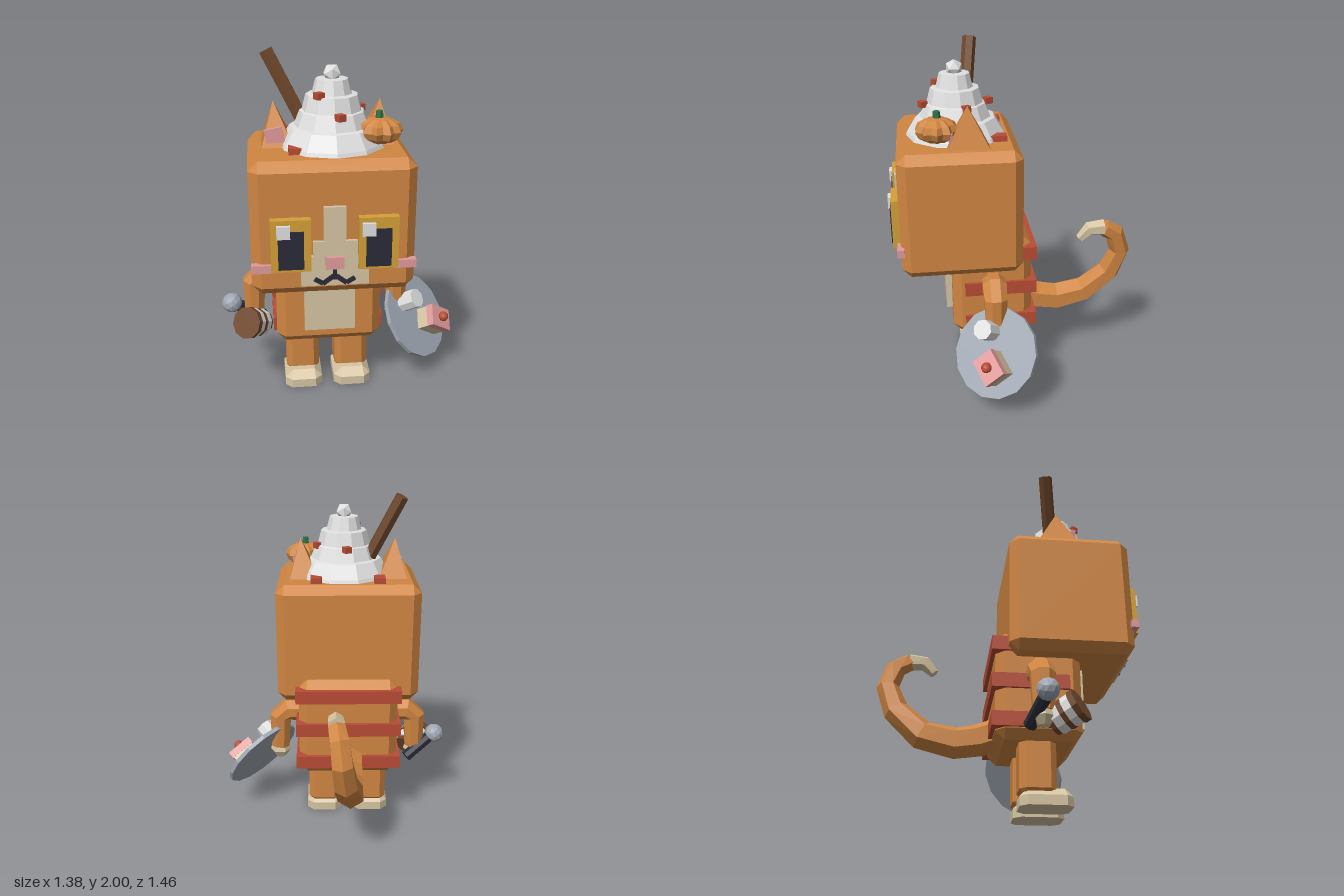
import * as THREE from 'three';
import { ConvexGeometry } from 'three/addons/geometries/ConvexGeometry.js';

const V = (x, y, z) => new THREE.Vector3(x, y, z);
const CX = -0.0775; // body's plane of symmetry

function material(name, color) {
  const m = new THREE.MeshStandardMaterial({ color, flatShading: true });
  m.name = name;
  return m;
}

// box with every edge and corner cut off
function chamferBox(w, h, d, c) {
  const pts = [];
  for (const x of [-1, 1]) for (const y of [-1, 1]) for (const z of [-1, 1]) {
    const a = x * w / 2, b = y * h / 2, e = z * d / 2;
    pts.push(V(a, b - y * c, e - z * c), V(a - x * c, b, e - z * c), V(a - x * c, b - y * c, e));
  }
  return new ConvexGeometry(pts);
}

// faceted tube through points, one radius per point; ref is the normal of the bend plane
function limb(points, radii, sides, ref) {
  const pos = [], idx = [], n = points.length;
  points.forEach((p, i) => {
    const t = points[Math.min(i + 1, n - 1)].clone().sub(points[Math.max(i - 1, 0)]).normalize();
    const u = ref.clone().addScaledVector(t, -ref.dot(t)).normalize();
    const v = t.clone().cross(u);
    for (let j = 0; j < sides; j++) {
      const a = ((j + 0.5) / sides) * Math.PI * 2;
      const q = p.clone().addScaledVector(u, Math.cos(a) * radii[i]).addScaledVector(v, Math.sin(a) * radii[i]);
      pos.push(q.x, q.y, q.z);
    }
  });
  for (let i = 0; i < n - 1; i++) for (let j = 0; j < sides; j++) {
    const k = (j + 1) % sides, a = i * sides + j, b = i * sides + k;
    idx.push(a, b, a + sides, b, b + sides, a + sides);
  }
  const e = (n - 1) * sides;
  for (let j = 1; j < sides - 1; j++) idx.push(0, j + 1, j, e, e + j, e + j + 1);
  const g = new THREE.BufferGeometry();
  g.setAttribute('position', new THREE.Float32BufferAttribute(pos, 3));
  g.setIndex(idx);
  g.computeVertexNormals();
  return g;
}

export function createModel() {
  const model = new THREE.Group();
  const orange = material('orange fur', 0xd08642), cream = material('cream', 0xd6c5a2);
  const gold = material('gold', 0xd4a038), dark = material('dark navy', 0x2b2b3a);
  const pink = material('pink', 0xe09a9a), red = material('red', 0xb84c35);
  const brown = material('brown', 0x70482c), grey = material('grey', 0xa0a7b2);
  const white = material('white', 0xe0e0e0), green = material('green', 0x2e7048);

  const add = (name, geo, mat, x = 0, y = 0, z = 0, parent = model) => {
    const m = new THREE.Mesh(geo, mat);
    m.name = name;
    m.position.set(x, y, z);
    parent.add(m);
    return m;
  };
  // plain box given by its limits
  const box = (name, mat, x0, x1, y0, y1, z0, z1) =>
    add(name, new THREE.BoxGeometry(x1 - x0, y1 - y0, z1 - z0), mat, (x0 + x1) / 2, (y0 + y1) / 2, (z0 + z1) / 2);
  // straight rod between two points
  const rod = (name, mat, a, b, r, sides) => {
    const m = add(name, new THREE.CylinderGeometry(r, r, a.distanceTo(b), sides), mat);
    m.position.copy(a).lerp(b, 0.5);
    m.quaternion.setFromUnitVectors(V(0, 1, 0), b.clone().sub(a).normalize());
    return m;
  };

  // head and body
  add('head', chamferBox(0.85, 0.72, 0.68, 0.05), orange, CX, 1.15, 0.325);
  add('body', chamferBox(0.595, 0.61, 0.465, 0.05), orange, CX, 0.64, 0.1525);
  box('belly', cream, -0.22, 0.065, 0.44, 0.82, 0.37, 0.42);
  for (const y of [0.43, 0.645, 0.86]) box('backStripe', red, -0.393, 0.238, y - 0.04, y + 0.04, -0.103, 0.315);

  // muzzle, nose and mouth
  box('muzzle', cream, -0.25, 0.1, 0.855, 1.02, 0.65, 0.684);
  box('muzzleBridge', cream, -0.187, 0.04, 1.02, 1.1, 0.65, 0.684);
  box('foreheadStripe', cream, -0.133, -0.02, 1.02, 1.285, 0.65, 0.687);
  box('nose', pink, -0.124, -0.03, 0.955, 1.02, 0.66, 0.708);
  box('mouthStem', dark, CX - 0.01, CX + 0.01, 0.89, 0.955, 0.68, 0.692);
  for (const s of [-1, 1]) {
    for (const [x, y, len, tilt] of [[0.032, 0.89, 0.075, -0.65], [0.082, 0.882, 0.05, 0.55]]) {
      const m = add('mouthStroke', new THREE.BoxGeometry(len, 0.024, 0.012), dark, CX + s * x, y, 0.686);
      m.rotation.z = s * tilt;
    }
    // eyes and cheeks
    const ex = CX + s * 0.2225;
    box('eyeFrame', gold, ex - 0.102, ex + 0.102, 0.95, 1.23, 0.65, 0.708);
    box('pupil', dark, ex - 0.065, ex + 0.065, 0.965, 1.17, 0.706, 0.715);
    const hx = ex + (s < 0 ? -0.037 : -0.053);
    box('eyeHighlight', white, hx - 0.034, hx + 0.034, 1.137, 1.205, 0.706, 0.727);
    const kx = CX + s * 0.366;
    box('cheek', pink, kx - 0.058, kx + 0.058, 0.936, 0.98, 0.645, 0.685);

    // ears with pink insides
    const ear = new ConvexGeometry([V(-0.09, 0, -0.12), V(0.085, 0, -0.12), V(-0.09, 0, 0.12),
      V(0.085, 0, 0.12), V(s * 0.02, 0.235, 0)]);
    add('ear', ear, orange, CX + s * 0.262, 1.5, 0.275);
    const inner = add('innerEar', new THREE.BoxGeometry(0.095, 0.09, 0.02), pink, CX + s * 0.28, 1.565, 0.368);
    inner.rotation.z = -s * 0.2;

    // legs and feet
    const lx = CX + s * 0.145;
    add('leg', chamferBox(0.197, 0.33, 0.197, 0.035), orange, lx, 0.22, 0.148);
    const foot = [];
    for (const [y, inset] of [[0, 0], [0.052, 0], [0.095, 0.045]])
      for (const a of [-1, 1]) for (const b of [-1, 1])
        foot.push(V(a * (0.07 - inset * 0.1), y, b * (0.14 - inset)), V(a * (0.11 - inset), y, b * (0.1 - inset * 0.1)));
    add('foot', new ConvexGeometry(foot), cream, lx, 0, 0.19);

    // arms and paws
    const ax = d => CX + s * d;
    const zAxis = V(0, 0, 1);
    add('arm', limb([V(ax(0.28), 0.675, 0.15), V(ax(0.365), 0.68, 0.15), V(ax(0.42), 0.635, 0.15), V(ax(0.425), 0.43, 0.15)],
      [0.07, 0.075, 0.07, 0.06], 8, zAxis), orange);
    add('paw', limb([V(ax(0.425), 0.45, 0.15), V(ax(0.425), 0.4, 0.15), V(ax(0.425), 0.355, 0.15)],
      [0.05, 0.065, 0.035], 6, zAxis), cream);
  }

  // tail with pale tip
  const tail = [[-0.08, 0.45, -0.03], [-0.08, 0.405, -0.15], [-0.08, 0.385, -0.28], [-0.08, 0.425, -0.46],
    [-0.05, 0.57, -0.61], [-0.03, 0.72, -0.665], [-0.015, 0.84, -0.625], [0, 0.89, -0.55],
    [0.003, 0.888, -0.46], [0, 0.825, -0.405]].map(p => V(...p));
  const tailR = [0.092, 0.092, 0.09, 0.084, 0.073, 0.064, 0.06, 0.053, 0.046, 0.028];
  add('tail', limb(tail.slice(0, 8), tailR.slice(0, 8), 6, V(1, 0, 0)), orange);
  add('tailTip', limb(tail.slice(7), tailR.slice(7), 6, V(1, 0, 0)), cream);

  // whipped cream in tiers
  const cream2D = [[0, 1.49], [0.29, 1.49], [0.275, 1.53], [0.225, 1.61], [0.2, 1.615], [0.17, 1.69], [0.158, 1.695],
    [0.137, 1.775], [0.105, 1.78], [0.085, 1.855], [0, 1.86]].map(p => new THREE.Vector2(...p));
  add('whippedCream', new THREE.LatheGeometry(cream2D, 11), white, -0.055, 0, 0.325);
  add('creamPeak', new THREE.IcosahedronGeometry(0.05), white, -0.055, 1.88, 0.325);

  // sprinkles
  for (const [x, z] of [[-0.26, 0.1], [0.11, 0.1], [-0.26, 0.48]])
    add('sprinkle', new THREE.BoxGeometry(0.065, 0.035, 0.09), red, x, 1.525, z);
  for (const [x, y, z] of [[-0.13, 1.785, 0.425], [-0.03, 1.69, 0.505], [0.1, 1.69, 0.275], [-0.07, 1.69, 0.14]])
    add('sprinkle', new THREE.BoxGeometry(0.042, 0.035, 0.042), red, x, y, z).rotation.y = 0.5;

  rod('cinnamonStick', brown, V(-0.18, 1.57, 0.27), V(-0.388, 1.985, 0.213), 0.04, 6);

  // ribbed pumpkin
  const pumpkin = new THREE.SphereGeometry(0.12, 20, 6), pp = pumpkin.attributes.position;
  for (let i = 0; i < pp.count; i++) {
    const lobe = 0.91 + 0.09 * Math.cos(10 * Math.atan2(pp.getZ(i), pp.getX(i)));
    pp.setXYZ(i, pp.getX(i) * lobe, pp.getY(i) * 0.58, pp.getZ(i) * lobe);
  }
  add('pumpkin', pumpkin, orange, 0.182, 1.605, 0.44);
  add('pumpkinStem', new THREE.CylinderGeometry(0.018, 0.024, 0.05, 6), green, 0.178, 1.682, 0.437);

  // hammer in the right hand
  const back = V(-0.455, 0.385, 0.2), front = V(-0.55, 0.46, 0.335);
  const along = t => back.clone().lerp(front, t);
  [[0, 0.15, brown, 0.07], [0.15, 0.42, white, 0.08], [0.42, 0.57, brown, 0.085], [0.57, 0.82, white, 0.085], [0.82, 1, brown, 0.092]]
    .forEach(([a, b, mat, r]) => rod('hammerBand', mat, along(a), along(b), r, 10));
  rod('hammerHandle', dark, V(-0.45, 0.37, 0.085), V(-0.61, 0.485, 0.15), 0.036, 8);
  add('handleKnob', new THREE.IcosahedronGeometry(0.06, 1), grey, -0.633, 0.5, 0.155);

  // tray shield in the left hand, carrying sweets
  const tray = new THREE.Group();
  tray.name = 'tray';
  tray.position.set(0.468, 0.36, 0.165);
  tray.lookAt(V(0.468 + 0.64, 0.36 + 0.54, 0.165 + 0.54));
  model.add(tray);
  add('trayDisc', new THREE.CylinderGeometry(0.26, 0.26, 0.025, 14).rotateX(Math.PI / 2), grey, 0, 0, 0, tray);
  add('marshmallow', new THREE.CylinderGeometry(0.058, 0.058, 0.11, 8).rotateX(Math.PI / 2), white, -0.062, 0.107, 0.065, tray);
  const cake = new THREE.Group();
  cake.name = 'cake';
  cake.position.set(0.05, -0.077, 0);
  cake.rotation.z = -0.68;
  tray.add(cake);
  add('cakeBase', new THREE.BoxGeometry(0.15, 0.125, 0.08), cream, 0, 0, 0.05, cake);
  add('cakeIcing', new THREE.BoxGeometry(0.16, 0.13, 0.045), pink, 0, 0, 0.112, cake);
  add('cherry', new THREE.IcosahedronGeometry(0.03, 1), red, 0, 0, 0.152, cake);

  return model;
}
